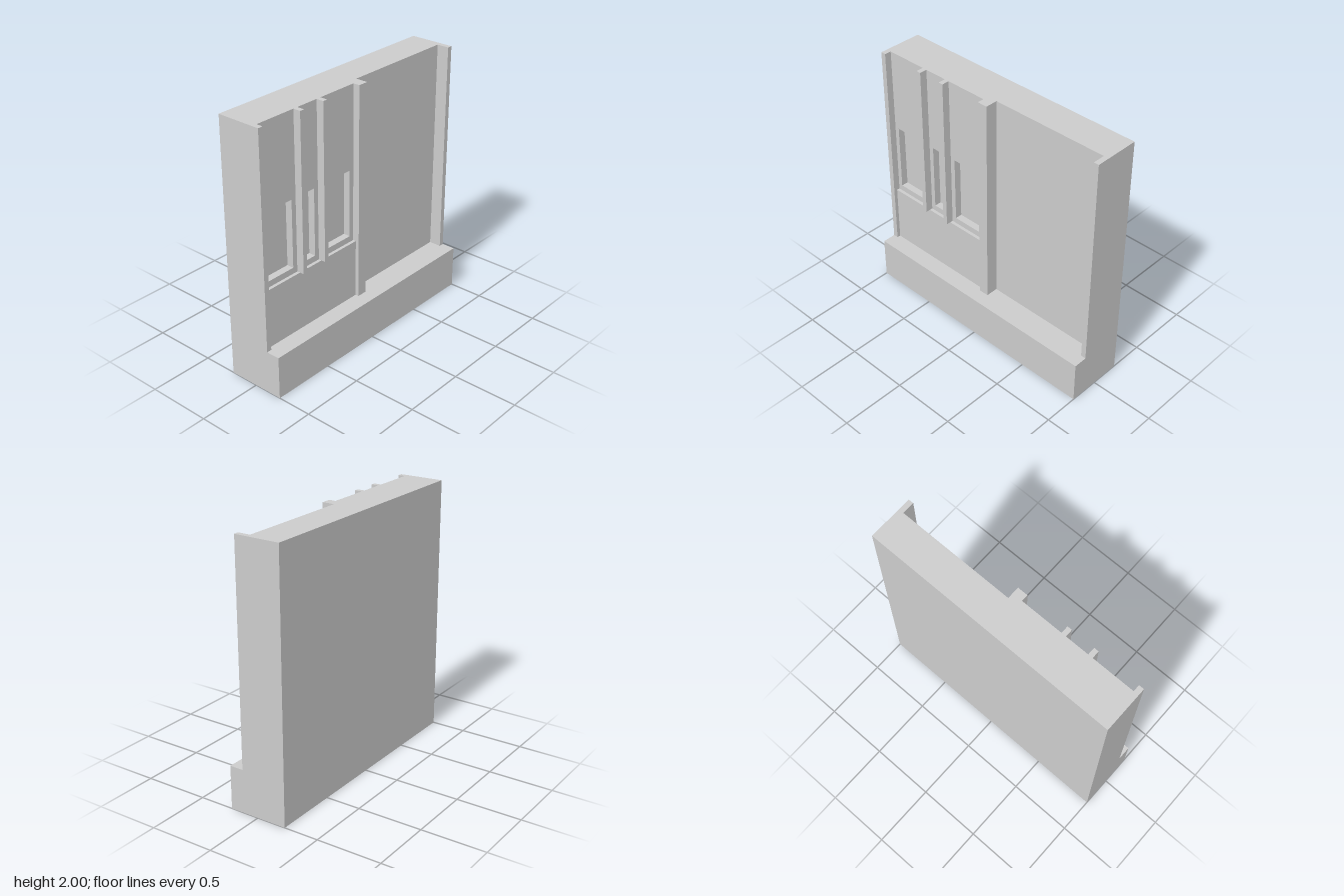
import * as THREE from 'three';

const BACK = -0.23, CORE = 0.015, BASE_TOP = 0.334, TOP = 2, LEDGE = 0.79;

export function createModel() {
  const model = new THREE.Group();
  const material = new THREE.MeshStandardMaterial({ color: 0xcccccc, flatShading: true });

  // Box given by its limits on each axis
  function box(name, x0, x1, y0, y1, z0, z1) {
    const mesh = new THREE.Mesh(new THREE.BoxGeometry(x1 - x0, y1 - y0, z1 - z0), material);
    mesh.position.set((x0 + x1) / 2, (y0 + y1) / 2, (z0 + z1) / 2);
    mesh.name = name;
    model.add(mesh);
  }

  // Plinth and the wall behind the panels
  box('plinth', -1, 1, 0, BASE_TOP, BACK, 0.23);
  box('wallCore', -1, 1, BASE_TOP, TOP, BACK, CORE);

  // Full-height posts at both ends and in the middle
  for (const [name, x0, x1] of [['rightPost', -1, -0.96], ['centrePost', -0.04, 0.04], ['leftPost', 0.96, 1]]) {
    box(name, x0, x1, BASE_TOP, TOP, CORE, 0.123);
  }

  // Plain deep panel on one half, raised lower panel on the other
  box('plainPanel', 0.04, 0.96, BASE_TOP, TOP, CORE, 0.027);
  box('lowerPanel', -0.96, -0.04, BASE_TOP, LEDGE, CORE, 0.095);

  // Upper panel with three recessed windows
  const rect = (Type, x0, x1, y0, y1) => new Type([
    new THREE.Vector2(x0, y0), new THREE.Vector2(x1, y0),
    new THREE.Vector2(x1, y1), new THREE.Vector2(x0, y1),
  ]);
  const face = rect(THREE.Shape, -0.96, -0.04, LEDGE, TOP);
  for (const [x0, x1] of [[-0.925, -0.668], [-0.556, -0.447], [-0.334, -0.078]]) {
    face.holes.push(rect(THREE.Path, x0, x1, 0.837, 1.36));
  }
  const panel = new THREE.Mesh(
    new THREE.ExtrudeGeometry(face, { depth: 0.07 - CORE, bevelEnabled: false }), material);
  panel.position.z = CORE;
  panel.name = 'windowPanel';
  model.add(panel);

  // Slim uprights between the windows
  for (const x of [-0.61, -0.39]) {
    box('mullion', x - 0.0185, x + 0.0185, LEDGE, TOP, 0.07, 0.129);
  }

  return model;
}
